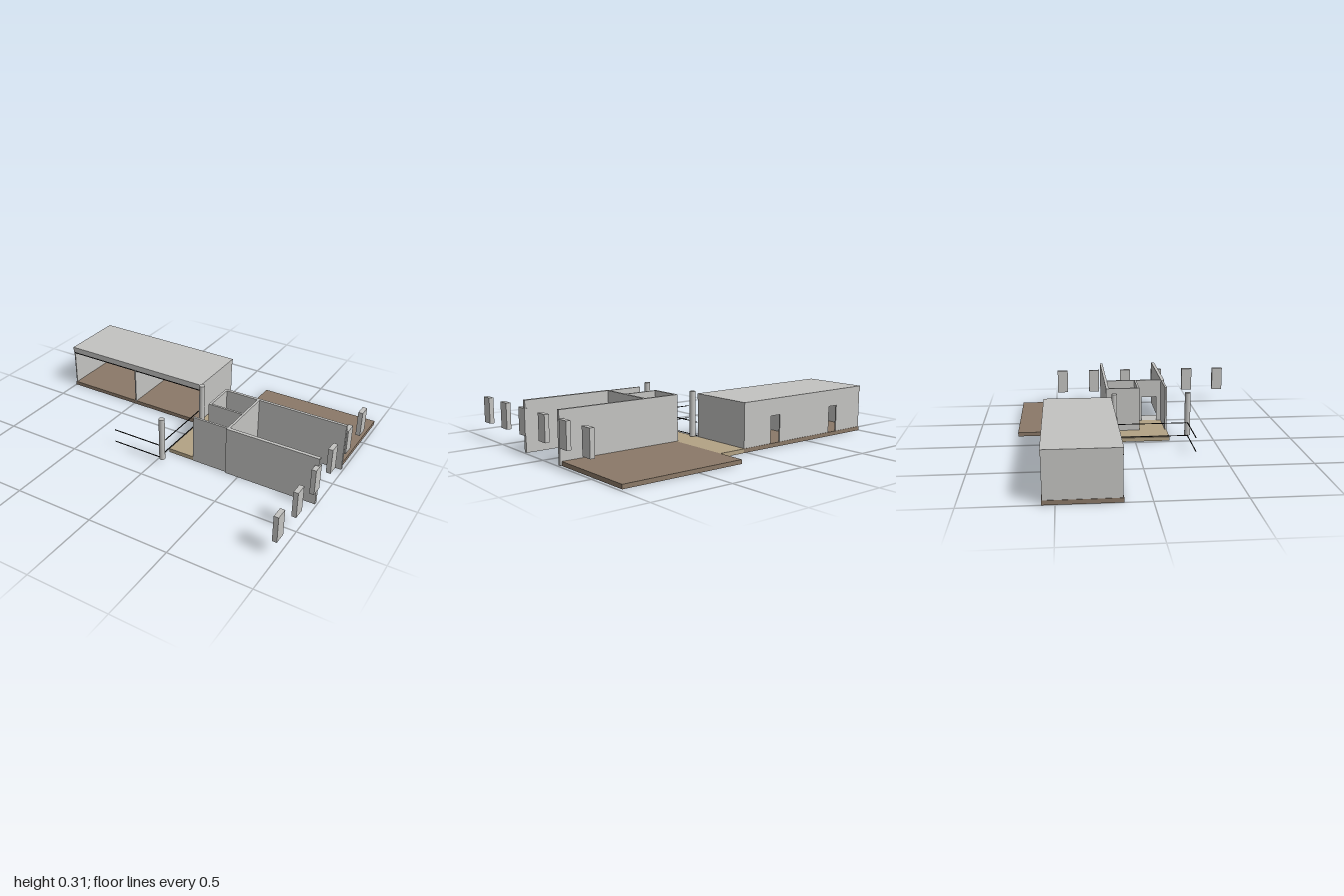
import * as THREE from 'three';

const mat = (name, color) => {
  const m = new THREE.MeshStandardMaterial({ color });
  m.name = name;
  return m;
};

export function createModel() {
  const model = new THREE.Group();
  model.name = 'house';
  const grey = mat('concrete grey', 0xc3c3c1);
  const brown = mat('dark timber', 0x8b7968);
  const tan = mat('light timber', 0xb3a385);
  const black = mat('black metal', 0x141414);

  // Box given by its minimum and maximum on each axis
  const block = (name, material, x0, x1, y0, y1, z0, z1, parent = model) => {
    const mesh = new THREE.Mesh(new THREE.BoxGeometry(x1 - x0, y1 - y0, z1 - z0), material);
    mesh.position.set((x0 + x1) / 2, (y0 + y1) / 2, (z0 + z1) / 2);
    mesh.name = name;
    parent.add(mesh);
    return mesh;
  };

  // Upright wall along x, with door openings [start, end, top] cut from its foot
  const doorWall = (name, from, to, y0, y1, thickness, doors) => {
    const s = new THREE.Shape();
    s.moveTo(from, y0);
    for (const [a, b, top] of doors) {
      s.lineTo(a, y0);
      s.lineTo(a, top);
      s.lineTo(b, top);
      s.lineTo(b, y0);
    }
    s.lineTo(to, y0);
    s.lineTo(to, y1);
    s.lineTo(from, y1);
    const mesh = new THREE.Mesh(
      new THREE.ExtrudeGeometry(s, { depth: thickness, bevelEnabled: false }), grey);
    mesh.name = name;
    model.add(mesh);
    return mesh;
  };

  // Floors and terraces
  block('wingFloor', brown, -1, 0.02, 0, 0.025, -0.57, -0.15);
  block('rearTerrace', brown, 0.2, 0.98, 0, 0.025, -0.745, -0.17);
  block('hallFloor', tan, 0.02, 0.2, 0, 0.025, -0.57, 0.22);
  block('entryFloor', tan, 0.2, 0.42, 0, 0.025, 0.04, 0.22);
  block('smallRoomFloor', grey, 0.2, 0.42, 0, 0.025, -0.17, 0.04);
  block('corridorFloor', grey, 0.42, 0.545, 0, 0.025, -0.165, 0.215);

  // Long wing: open front, rear wall with two doors, flat roof
  doorWall('wingBackWall', -0.997, 0.017, 0.025, 0.258, 0.008,
    [[-0.775, -0.705, 0.19], [-0.27, -0.195, 0.19]]).position.z = -0.567;
  block('wingEndWallRight', grey, -0.997, -0.99, 0.025, 0.258, -0.56, -0.153);
  block('wingEndWallLeft', grey, 0.01, 0.017, 0.025, 0.258, -0.56, -0.153);
  block('wingDivider', grey, -0.489, -0.481, 0.025, 0.258, -0.56, -0.147);
  block('wingRoof', grey, -1, 0.02, 0.258, 0.293, -0.57, -0.15);
  block('frontRail', black, -0.99, -0.489, 0.25, 0.258, -0.157, -0.15);
  block('frontRail', black, -0.481, 0.01, 0.25, 0.258, -0.157, -0.15);

  // Roofless rooms
  const top = 0.307;
  block('backWall', grey, 0.19, 0.99, 0.001, top, -0.173, -0.155);
  block('frontWall', grey, 0.415, 0.99, 0.001, top, 0.21, 0.232);
  block('frontWallThin', grey, 0.19, 0.415, 0.001, top, 0.21, 0.223);
  block('smallRoomSideWall', grey, 0.19, 0.205, 0.001, top, -0.155, 0.043);
  block('smallRoomFrontWall', grey, 0.205, 0.415, 0.001, top, 0.03, 0.043);
  const cross = doorWall('crossWall', -0.21, 0.155, 0.02, top, 0.015, [[-0.18, -0.08, 0.19]]);
  cross.rotation.y = Math.PI / 2;
  cross.position.x = 0.415;

  // Row of floating wall panels along the left side
  for (let i = 0; i < 6; i++) {
    const z = -0.45 + i * 0.231;
    block('sidePanel', grey, 0.968, 0.996, 0.1, 0.26, z - 0.037, z + 0.037);
  }

  // Round posts
  for (const z of [-0.13, 0.335]) {
    const post = new THREE.Mesh(new THREE.CylinderGeometry(0.018, 0.018, 0.278, 32), grey);
    post.position.set(0.042, 0.168, z);
    post.name = 'roundPost';
    model.add(post);
  }

  // Two-line railing around the corner
  for (const y of [0.031, 0.115]) {
    block('sideRailing', black, 0.018, 0.023, y - 0.002, y + 0.002, -0.15, 0.335);
    block('frontRailing', black, -0.305, 0.023, y - 0.002, y + 0.002, 0.331, 0.336);
  }

  // Small fitting at the corridor edge
  block('floorFitting', black, 0.538, 0.55, 0.025, 0.031, 0.02, 0.04);
  return model;
}
